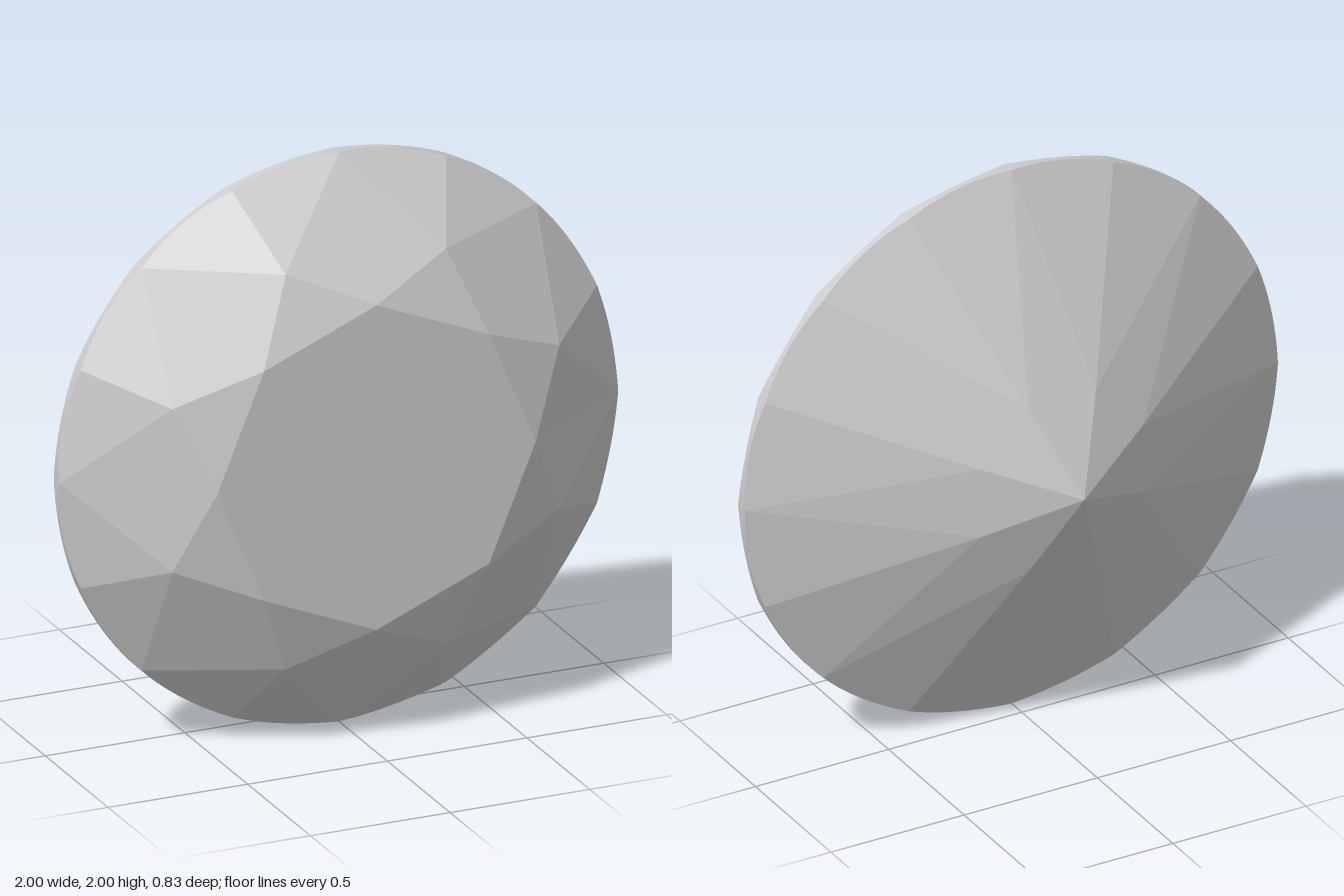
import * as THREE from 'three';

// Round brilliant-cut gem: eight-fold symmetric, table facing +z, point at the back
const FOLD = 8, STEP = Math.PI / FOLD, HALF = STEP / 2, ARC = 10;
const TABLE = { r: 0.57, z: 0.415 };
const STAR = { r: 0.75, z: 0.33 };
const CROWN_EDGE = 0.115, PAVILION_EDGE = 0.068;
const LOWER = { r: 0.33, z: -0.268 };
const CULET = { r: 0, z: -0.415 };

const polar = (angle, r, z) => [r * Math.cos(angle), 1 + r * Math.sin(angle), z];

// Scalloped girdle line: where the flat facet through a tip cuts the round girdle
function edgeZ(angle, edge, tip) {
  const local = (((angle % STEP) + STEP) % STEP) - HALF;
  const slope = (tip.z - edge) / (Math.cos(HALF) * (1 - tip.r));
  return edge + slope * (Math.cos(HALF) - Math.cos(local));
}
const crownZ = (a) => edgeZ(a, CROWN_EDGE, STAR);
const pavilionZ = (a) => edgeZ(a, PAVILION_EDGE, LOWER);

// Mesh of flat polygons, each cut into a fan from its first corner
function facetMesh(name, polygons, material, flip = false) {
  const positions = [];
  for (const p of polygons) {
    for (let i = 1; i < p.length - 1; i++) {
      const tri = flip ? [p[0], p[i + 1], p[i]] : [p[0], p[i], p[i + 1]];
      positions.push(...tri.flat());
    }
  }
  const geometry = new THREE.BufferGeometry();
  geometry.setAttribute('position', new THREE.Float32BufferAttribute(positions, 3));
  geometry.computeVertexNormals();
  const mesh = new THREE.Mesh(geometry, material);
  mesh.name = name;
  return mesh;
}

// Half facet: a tip joined to one sixteenth of the girdle
function halfFacet(tip, tipAngle, start, zAt) {
  const polygon = [polar(tipAngle, tip.r, tip.z)];
  for (let i = 0; i <= ARC; i++) {
    const a = start + (STEP * i) / ARC;
    polygon.push(polar(a, 1, zAt(a)));
  }
  return polygon;
}

// Thin round band with radial normals
function girdleMesh(material) {
  const positions = [], normals = [], index = [], count = FOLD * 2 * ARC;
  for (let i = 0; i <= count; i++) {
    const a = (STEP * i) / ARC;
    positions.push(...polar(a, 1, pavilionZ(a)), ...polar(a, 1, crownZ(a)));
    for (let k = 0; k < 2; k++) normals.push(Math.cos(a), Math.sin(a), 0);
    if (i < count) {
      const b = i * 2;
      index.push(b, b + 2, b + 3, b, b + 3, b + 1);
    }
  }
  const geometry = new THREE.BufferGeometry();
  geometry.setAttribute('position', new THREE.Float32BufferAttribute(positions, 3));
  geometry.setAttribute('normal', new THREE.Float32BufferAttribute(normals, 3));
  geometry.setIndex(index);
  const mesh = new THREE.Mesh(geometry, material);
  mesh.name = 'girdle';
  return mesh;
}

export function createModel() {
  const group = new THREE.Group();
  group.name = 'gem';
  const flat = new THREE.MeshStandardMaterial({ color: 0xcccccc, flatShading: true });
  const smooth = new THREE.MeshStandardMaterial({ color: 0xcccccc });

  const table = [], stars = [], crownMains = [], upperHalves = [];
  const pavilionMains = [], lowerHalves = [];
  for (let i = 0; i < FOLD; i++) {
    const a = i * 2 * STEP, before = a - STEP, after = a + STEP;
    table.push(polar(a, TABLE.r, TABLE.z));

    // Crown: star triangle, kite and a pair of upper halves
    stars.push([
      polar(a, TABLE.r, TABLE.z),
      polar(after, STAR.r, STAR.z),
      polar(a + 2 * STEP, TABLE.r, TABLE.z),
    ]);
    crownMains.push([
      polar(a, TABLE.r, TABLE.z),
      polar(before, STAR.r, STAR.z),
      polar(a, 1, CROWN_EDGE),
      polar(after, STAR.r, STAR.z),
    ]);
    upperHalves.push(halfFacet(STAR, after, a, crownZ), halfFacet(STAR, after, after, crownZ));

    // Pavilion: long kite and a pair of lower halves
    pavilionMains.push([
      polar(a, CULET.r, CULET.z),
      polar(before, LOWER.r, LOWER.z),
      polar(a, 1, PAVILION_EDGE),
      polar(after, LOWER.r, LOWER.z),
    ]);
    lowerHalves.push(
      halfFacet(LOWER, after, a, pavilionZ),
      halfFacet(LOWER, after, after, pavilionZ),
    );
  }

  group.add(
    facetMesh('table', [table], flat),
    facetMesh('starFacets', stars, flat),
    facetMesh('crownMainFacets', crownMains, flat),
    facetMesh('upperGirdleFacets', upperHalves, flat),
    girdleMesh(smooth),
    facetMesh('pavilionMainFacets', pavilionMains, flat, true),
    facetMesh('lowerGirdleFacets', lowerHalves, flat, true),
  );
  return group;
}
